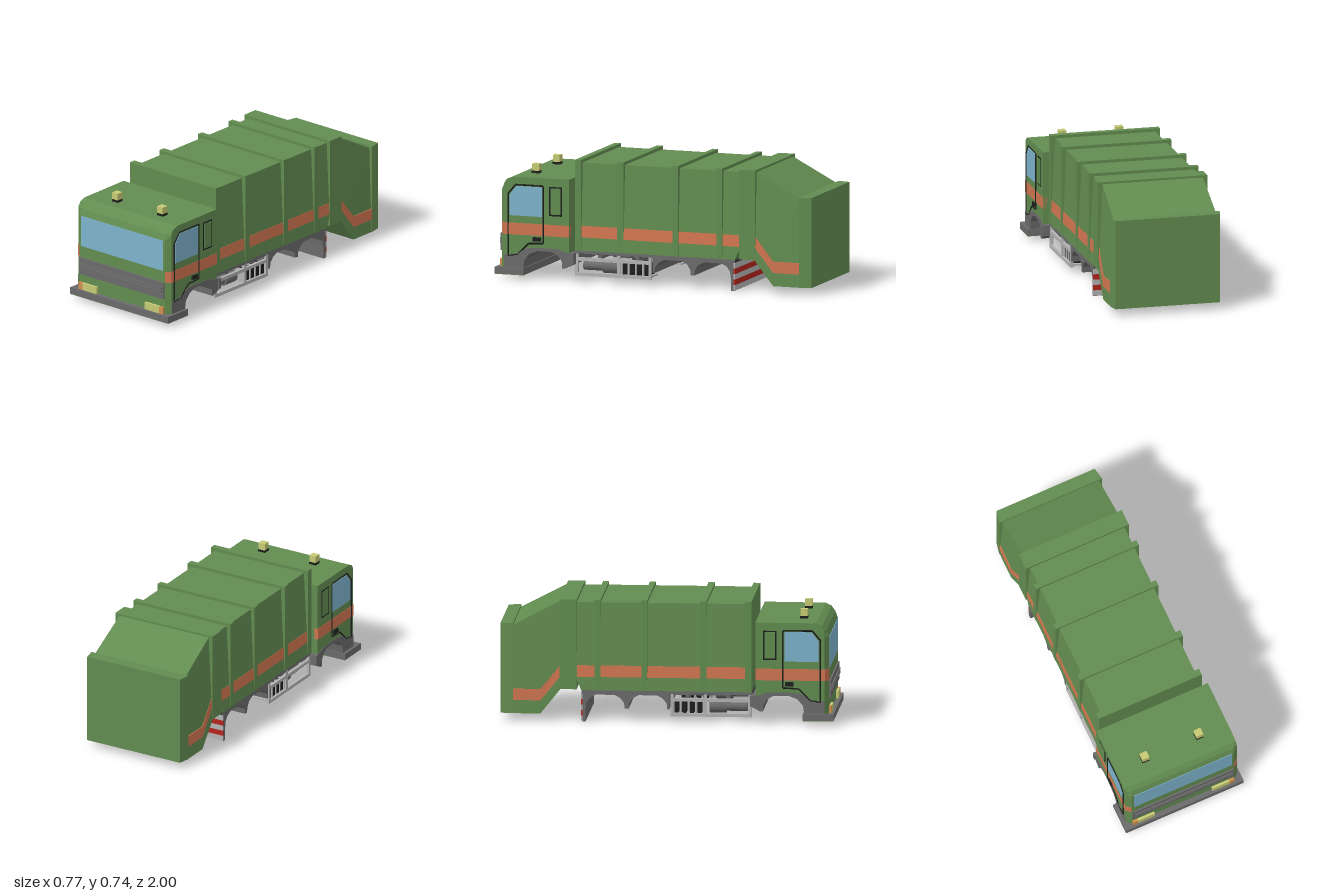
import * as THREE from 'three';

const GREEN = 0x628c50, GREY = 0x6b6b6b, DARK = 0x3c3c3c, BLACK = 0x1c1f1c, LIGHT = 0xb4b4b4,
  BLUE = 0x7db3cc, STRIPE = 0xd07550, YELLOW = 0xc6cb74, AMBER = 0xd2904e, RED = 0xb5241c;

const mats = {};
const mat = c => mats[c] ??= new THREE.MeshStandardMaterial({ color: c, flatShading: true });

export function createModel() {
  const root = new THREE.Group();

  const add = (name, geo, color, parent = root) => {
    const m = new THREE.Mesh(geo, mat(color));
    m.name = name;
    parent.add(m);
    return m;
  };
  // Box from its limits
  const box = (name, color, [x0, x1], [y0, y1], [z0, z1], parent) => {
    const m = add(name, new THREE.BoxGeometry(x1 - x0, y1 - y0, z1 - z0), color, parent);
    m.position.set((x0 + x1) / 2, (y0 + y1) / 2, (z0 + z1) / 2);
    return m;
  };
  // Side profile [z, y] skinned across stations; each station maps (z, y) to [x, y, z], x ascending
  const skin = (name, color, profile, stations, parent) => {
    let pts = profile.map(p => new THREE.Vector2(...p));
    if (THREE.ShapeUtils.isClockWise(pts)) pts.reverse();
    const n = pts.length, pos = [], idx = [];
    stations.forEach(f => pts.forEach(p => pos.push(...f(p.x, p.y))));
    for (let s = 0; s < stations.length - 1; s++)
      for (let i = 0; i < n; i++) {
        const a = s * n + i, b = s * n + (i + 1) % n;
        idx.push(a, a + n, b + n, a, b + n, b);
      }
    const top = (stations.length - 1) * n;
    for (const [a, b, c] of THREE.ShapeUtils.triangulateShape(pts, []))
      idx.push(a, b, c, top + a, top + c, top + b);
    const indexed = new THREE.BufferGeometry();
    indexed.setAttribute('position', new THREE.Float32BufferAttribute(pos, 3));
    indexed.setIndex(idx);
    const geo = indexed.toNonIndexed();
    geo.computeVertexNormals();
    return add(name, geo, color, parent);
  };
  const at = half => typeof half === 'function' ? half : () => half;
  // Full-width solid with a half width that may depend on height
  const solid = (name, color, profile, half) => {
    const w = at(half);
    return skin(name, color, profile, [(z, y) => [-w(y), y, z], (z, y) => [w(y), y, z]]);
  };
  // Thin plates on both side walls
  const plates = (name, color, profile, half, t = 0.002) => {
    const w = at(half);
    skin(name + 'Left', color, profile, [(z, y) => [w(y) - 0.01, y, z], (z, y) => [w(y) + t, y, z]]);
    skin(name + 'Right', color, profile, [(z, y) => [-w(y) - t, y, z], (z, y) => [0.01 - w(y), y, z]]);
  };
  const rect = (z0, z1, y0, y1) => [[z0, y0], [z1, y0], [z1, y1], [z0, y1]];

  // Cab with chamfered front corners
  const cabProfile = [[0.97, 0.06], [0.97, 0.535], [0.955, 0.575], [0.93, 0.602], [0.895, 0.618], [0.53, 0.62],
    [0.53, 0.175], [0.8, 0.185], [0.89, 0.13], [0.9, 0.06]];
  const clip = x => (z, y) => [x, y, Math.min(z, 0.945)];
  const flat = x => (z, y) => [x, y, z];
  skin('cab', GREEN, cabProfile, [clip(-0.366), flat(-0.335), flat(0.335), clip(0.366)]);
  const cabStripe = rect(0.53, 0.971, 0.27, 0.34);
  skin('cabStripeLeft', STRIPE, cabStripe, [flat(0.337), (z, y) => [0.368, y, Math.min(z, 0.947)]]);
  skin('cabStripeRight', STRIPE, cabStripe, [(z, y) => [-0.368, y, Math.min(z, 0.947)], flat(-0.337)]);

  // Cab front
  box('windscreen', BLUE, [-0.322, 0.322], [0.343, 0.535], [0.95, 0.973]);
  box('grille', GREY, [-0.332, 0.332], [0.165, 0.27], [0.95, 0.98]);
  for (const y of [0.207, 0.226]) box('grilleSlat', GREY, [-0.32, 0.32], [y, y + 0.011], [0.97, 0.988]);
  box('bumper', GREY, [-0.386, 0.386], [0.03, 0.07], [0.815, 1]);
  box('bumperUnderside', GREEN, [-0.384, 0.384], [0.027, 0.031], [0.817, 0.998]);
  for (const s of [-1, 1]) {
    const lim = (a, b) => s > 0 ? [a, b] : [-b, -a];
    box('headlight', YELLOW, lim(0.19, 0.301), [0.07, 0.114], [0.95, 0.985]);
    box('indicator', AMBER, lim(0.301, 0.332), [0.07, 0.114], [0.95, 0.985]);
    box('beaconBase', BLACK, lim(0.154, 0.2), [0.615, 0.633], [0.786, 0.832]);
    box('beacon', YELLOW, lim(0.155, 0.199), [0.633, 0.675], [0.787, 0.831]);
  }

  // Doors: black seal, side window, handle and rear vent
  const door = [[0.92, 0.14], [0.92, 0.515], [0.872, 0.572], [0.695, 0.572], [0.695, 0.225], [0.79, 0.22], [0.86, 0.15]];
  for (const s of [-1, 1]) {
    const path = new THREE.CurvePath();
    door.forEach((p, i) => {
      const q = door[(i + 1) % door.length];
      path.add(new THREE.LineCurve3(new THREE.Vector3(s * 0.367, p[1], p[0]), new THREE.Vector3(s * 0.367, q[1], q[0])));
    });
    for (const c of path.curves) add('doorSeal', new THREE.TubeGeometry(c, 1, 0.005, 4), BLACK);
  }
  plates('sideWindow', BLUE, [[0.91, 0.385], [0.91, 0.51], [0.868, 0.564], [0.704, 0.564], [0.704, 0.385]], 0.366, 0.003);
  plates('doorHandle', BLACK, rect(0.71, 0.76, 0.236, 0.26), 0.366, 0.009);
  plates('ventFrame', BLACK, rect(0.576, 0.657, 0.393, 0.57), 0.366, 0.002);
  plates('ventPanel', GREEN, rect(0.584, 0.649, 0.403, 0.562), 0.366, 0.005);

  // Front wheel arch across the whole width
  solid('frontWheelArch', GREY, [[0.944, 0.06], [0.944, 0.147], [0.89, 0.147], [0.85, 0.165], [0.8, 0.192], [0.72, 0.198],
    [0.6, 0.195], [0.55, 0.178], [0.503, 0.17], [0.503, 0.11], [0.56, 0.08], [0.575, 0.08], [0.575, 0.12], [0.6, 0.155],
    [0.64, 0.177], [0.73, 0.177], [0.78, 0.158], [0.815, 0.12], [0.825, 0.06]], 0.369);
  box('cabRearFlange', GREY, [-0.376, 0.376], [0.11, 0.175], [0.5, 0.522]);

  // Refuse body: walls lean in toward the roof
  const wall = y => 0.336 - 0.026 * THREE.MathUtils.clamp((y - 0.19) / 0.53, 0, 1);
  solid('bodyShell', GREEN, [[0.5, 0.19], [0.5, 0.72], [-0.55, 0.72], [-0.55, 0.27], [-0.515, 0.19]], wall);
  for (const [z0, z1] of [[0.465, 0.505], [0.195, 0.235], [-0.155, -0.12], [-0.435, -0.4]])
    solid('bodyRib', GREEN, rect(z0, z1, 0.19, 0.738), 0.338);
  for (const [z0, z1] of [[0.235, 0.465], [-0.12, 0.195], [-0.4, -0.155], [-0.54, -0.435]])
    plates('bodyStripe', STRIPE, rect(z0, z1, 0.27, 0.34), wall);
  solid('rearFrame', GREEN, rect(-0.645, -0.543, 0.195, 0.738), 0.338);

  // Tail hopper and its end cap
  solid('hopper', GREEN, [[-0.64, 0.195], [-0.64, 0.728], [-0.93, 0.575], [-0.93, 0.045], [-0.76, 0.045]], wall);
  plates('hopperStripe', STRIPE, [[-0.645, 0.335], [-0.76, 0.193], [-0.925, 0.193], [-0.925, 0.125], [-0.76, 0.125], [-0.645, 0.268]], wall);
  const taper = x => (z, y) => [x * (z < -0.98 ? 0.955 : 1), y, z];
  skin('hopperEndCap', GREEN, [[-0.925, 0.045], [-0.925, 0.59], [-1, 0.59], [-1, 0.045]], [taper(-0.338), taper(0.338)]);

  // Chassis deck, rails and crossmembers
  box('deck', DARK, [-0.33, 0.33], [0.17, 0.192], [-0.515, 0.51]);
  plates('deckEdge', GREY, rect(-0.515, 0.51, 0.172, 0.19), 0.33, 0.003);
  for (const x of [-0.1, 0.1]) box('chassisRail', GREY, [x - 0.015, x + 0.015], [0.13, 0.175], [0, 0.56]);
  for (const z of [0.12, 0.36]) box('crossmember', GREY, [-0.3, 0.3], [0.14, 0.175], [z - 0.012, z + 0.012]);
  box('gearbox', GREEN, [-0.05, 0.05], [0.13, 0.172], [0.14, 0.165]);

  // Twin rear wheel arches and striped mudflap
  const archProfile = z => [[z, 0.18], [z, 0.08], [z - 0.012, 0.08], [z - 0.016, 0.115], [z - 0.04, 0.145], [z - 0.075, 0.163],
    [z - 0.185, 0.163], [z - 0.22, 0.145], [z - 0.24, 0.115], [z - 0.244, 0.08], [z - 0.255, 0.08], [z - 0.255, 0.18]];
  for (const z of [0.012, -0.243]) solid('rearWheelArch', GREY, archProfile(z), 0.331);
  box('mudflap', GREY, [-0.332, 0.332], [0, 0.185], [-0.508, -0.49]);
  for (let i = 0; i < 5; i++)
    box('mudflapBand', i % 2 ? RED : LIGHT, [-0.332, 0.332], [0.004 + i * 0.033, 0.004 + (i + 1) * 0.033], [-0.516, -0.507]);

  // Side guards with air tank and battery ladder, one per side
  for (const s of [-1, 1]) {
    const g = new THREE.Group();
    g.name = s > 0 ? 'leftSideGuard' : 'rightSideGuard';
    root.add(g);
    const lim = (a, b) => s > 0 ? [a, b] : [-b, -a];
    for (const y of [0.038, 0.128]) box('guardRail', LIGHT, lim(0.315, 0.333), [y, y + 0.02], [0.02, 0.505], g);
    for (const z of [0.02, 0.22, 0.487]) box('guardPost', LIGHT, lim(0.315, 0.333), [0.04, 0.18], [z, z + 0.018], g);
    const tank = (name, r, len, z) => {
      const m = add(name, new THREE.CylinderGeometry(r, r, len, 16), GREY, g);
      m.rotation.x = Math.PI / 2;
      m.position.set(s * 0.25, 0.09, z);
    };
    tank('airTank', 0.04, 0.1, 0.3);
    tank('silencer', 0.028, 0.13, 0.41);
    box('batteryTray', LIGHT, lim(0.2, 0.315), [0.045, 0.055], [0.03, 0.22], g);
    for (let i = 0; i < 4; i++) {
      const z = 0.042 + i * 0.046;
      box('battery', BLACK, lim(0.21, 0.318), [0.058, 0.125], [z, z + 0.026], g);
      box('batteryDivider', LIGHT, lim(0.2, 0.322), [0.05, 0.13], [z + 0.031, z + 0.04], g);
    }
  }
  return root;
}
